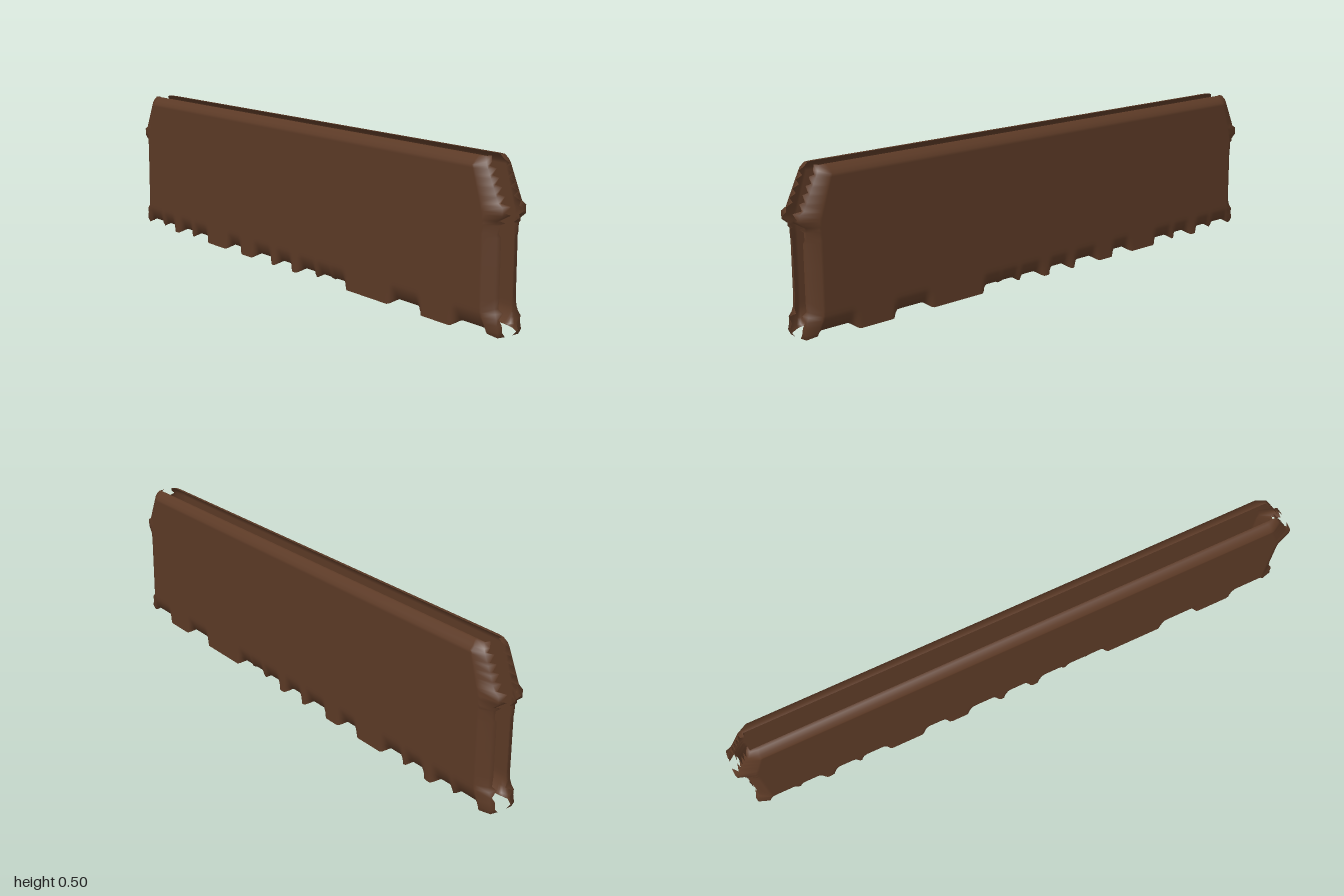
import * as THREE from 'three';

// Bites along the lower edge: centre and half width in x
const BITES = [[-0.9, 0.03], [-0.8, 0.02], [-0.67, 0.02], [-0.565, 0.025], [-0.335, 0.02],
  [-0.155, 0.03], [-0.025, 0.022], [0.11, 0.025], [0.205, 0.02], [0.275, 0.02],
  [0.59, 0.025], [0.635, 0.02], [0.89, 0.045]];

// 0 on a tab, 1 inside a bite, with a soft shoulder
function bite(x) {
  let n = 0;
  for (const [c, w] of BITES) {
    n = Math.max(n, 1 - THREE.MathUtils.smoothstep(Math.abs(x - c), w, w + 0.035));
  }
  return n;
}

// Horizontal sections: y, rim half length, flat half length, face z, bevel z, rim z, bite strength
function sections() {
  const rows = [
    [0, 0.99, 0.955, 0.0625, 0.04, 0.015, 1],
    [0.015, 0.995, 0.955, 0.0625, 0.045, 0.03, 0.6],
    [0.035, 0.99, 0.95, 0.0625, 0.045, 0.028, 0.25],
    [0.053, 0.99, 0.945, 0.0625, 0.046, 0.04, 0.06],
    [0.066, 0.982, 0.943, 0.0625, 0.043, 0.016, 0],
    [0.08, 0.977, 0.942, 0.0625, 0.042, 0.03, 0],
    [0.11, 0.976, 0.942, 0.0625, 0.04, 0.026, 0],
    [0.2, 0.976, 0.942, 0.0625, 0.04, 0.026, 0],
    [0.28, 0.976, 0.942, 0.0625, 0.04, 0.026, 0],
    [0.29, 0.976, 0.942, 0.0625, 0.042, 0.034, 0],
    [0.315, 0.977, 0.943, 0.0625, 0.042, 0.034, 0],
  ];
  // Jagged corner: the rim steps in and out while it follows the diagonal
  for (let i = 0; i < 7; i++) {
    for (const [dy, z] of [[0, 0.016], [0.009, 0.038]]) {
      const y = 0.32 + i * 0.0245 + dy;
      const rim = y < 0.335 ? 0.98 : y < 0.375 ? 1 : 0.985 - (y - 0.375) * 0.48;
      const flat = 0.945 - Math.max(0, y - 0.34) * 0.33;
      rows.push([y, rim, Math.min(flat, rim - 0.02), 0.0625, 0.045, z, 0]);
    }
  }
  rows.push([0.486, 0.932, 0.9, 0.053, 0.043, 0.025, 0]);
  rows.push([0.5, 0.922, 0.895, 0.04, 0.036, 0.016, 0]);
  rows.push([0.5, 0.92, 0.895, 0.03, 0.03, 0.016, 0]);
  return rows;
}

// Thin curled shell; side is +1 for the front and -1 for the back
function shellGeometry(side) {
  const N = 220, cols = N + 5, pos = [], index = [];
  const rows = sections();
  for (const [y, rim, flat, zFace, zBevel, zRim, strength] of rows) {
    const add = (x, z) => {
      const n = bite(x) * strength;
      const lift = y === 0 ? 0.019 * n : 0.008 * n;
      pos.push(x, y + lift, side * Math.max(0.02, z - 0.032 * n));
    };
    const bevel = rim - 0.003;
    const end = (x, z) => pos.push(x, y, side * z);
    end(-rim, zRim);
    end(-bevel, zBevel);
    for (let i = 0; i <= N; i++) add(-flat + (2 * flat * i) / N, zFace);
    end(bevel, zBevel);
    end(rim, zRim);
  }
  for (let r = 0; r < rows.length - 1; r++) {
    for (let c = 0; c < cols - 1; c++) {
      const a = r * cols + c, b = a + 1, d = a + cols, e = d + 1;
      if (side > 0) index.push(a, b, e, a, e, d);
      else index.push(a, e, b, a, d, e);
    }
  }
  const g = new THREE.BufferGeometry();
  g.setAttribute('position', new THREE.Float32BufferAttribute(pos, 3));
  g.setIndex(index);
  g.computeVertexNormals();
  return g;
}

export function createModel() {
  const group = new THREE.Group();
  group.name = 'hollowPanel';
  const brown = new THREE.MeshStandardMaterial({ color: 0x5c3a26, side: THREE.DoubleSide });
  brown.name = 'dark brown';
  for (const [name, side] of [['frontShell', 1], ['backShell', -1]]) {
    const mesh = new THREE.Mesh(shellGeometry(side), brown);
    mesh.name = name;
    group.add(mesh);
  }
  return group;
}
